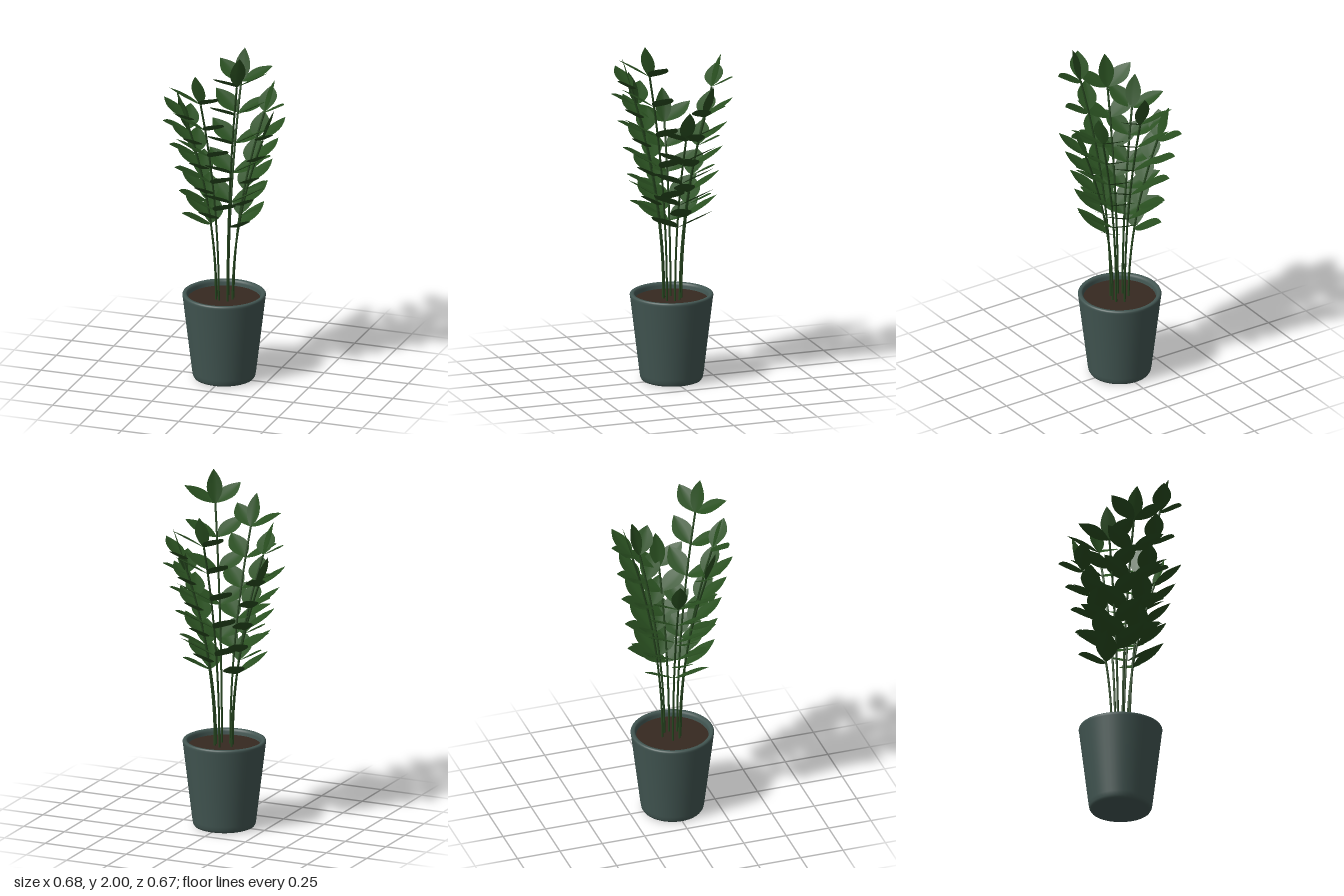
import * as THREE from 'three';

const mat = (name, color, side = THREE.FrontSide) => {
  const m = new THREE.MeshStandardMaterial({ color, side });
  m.name = name;
  return m;
};

// Unit leaf: pointed lens along +y, upper face towards +z, slightly cupped along the midrib
function leafGeometry() {
  const g = new THREE.PlaneGeometry(1, 1, 6, 14);
  const p = g.attributes.position;
  for (let i = 0; i < p.count; i++) {
    const u = p.getX(i), v = p.getY(i) + 0.5;
    const width = Math.pow(Math.max(0, Math.sin(Math.PI * Math.pow(v, 0.95))), 0.95);
    const cup = 0.03 * Math.abs(u) * 2 * width;
    const sag = 0.012 * Math.sin(Math.PI * v);
    p.setXYZ(i, u * width, v, cup - sag);
  }
  g.computeVertexNormals();
  return g;
}

// Base and top of each stem: [base x, base z, top x, top z, top y]
const STEMS = [
  [0.03, 0.037, 0.138, 0.18, 1.81],
  [0.0, -0.06, 0.012, -0.237, 1.68],
  [0.04, -0.035, 0.19, -0.13, 1.56],
  [0.045, -0.006, 0.225, -0.004, 1.44],
  [-0.02, 0.04, -0.065, 0.214, 1.69],
  [-0.042, 0.026, -0.178, 0.138, 1.56],
  [-0.055, -0.016, -0.232, -0.045, 1.43],
];
const SOIL_Y = 0.468, PAIRS = 5, FIRST_PAIR = 0.445;

export function createModel() {
  const model = new THREE.Group();
  model.name = 'pottedPlant';
  const potMat = mat('pot grey green', 0x425652);
  const soilMat = mat('soil brown', 0x362920);
  const stemMat = mat('stem green', 0x26461f);
  const leafMat = mat('leaf green', 0x294f20, THREE.DoubleSide);

  const add = (parent, name, geometry, material) => {
    const mesh = new THREE.Mesh(geometry, material);
    mesh.name = name;
    parent.add(mesh);
    return mesh;
  };

  // Tapered pot with rounded foot and rim
  const profile = [
    [0, 0], [0.158, 0], [0.168, 0.004], [0.175, 0.016], [0.179, 0.04],
    [0.232, 0.482], [0.234, 0.492], [0.231, 0.499], [0.225, 0.502],
    [0.214, 0.501], [0.208, 0.496], [0.205, 0.485], [0.2, 0.44],
  ].map(([r, y]) => new THREE.Vector2(r, y));
  const pot = add(model, 'pot', new THREE.LatheGeometry(profile, 48), potMat);
  pot.position.set(-0.004, 0, -0.003);

  // Soil
  const soil = add(model, 'soil', new THREE.CylinderGeometry(0.204, 0.2, 0.02, 48), soilMat);
  soil.position.set(-0.004, SOIL_Y - 0.01, -0.003);

  const leafGeo = leafGeometry();
  const addLeaf = (parent, name, base, dir, across, length, width) => {
    const d = dir.clone().normalize();
    const w = across.clone().addScaledVector(d, -across.dot(d)).normalize();
    const n = w.clone().cross(d);
    if (n.y < 0) { w.negate(); n.negate(); }
    const leaf = add(parent, name, leafGeo, leafMat);
    leaf.quaternion.setFromRotationMatrix(new THREE.Matrix4().makeBasis(w, d, n));
    leaf.scale.set(width, length, length);
    leaf.position.copy(base);
  };

  STEMS.forEach(([bx, bz, tx, tz, ty]) => {
    const branch = new THREE.Group();
    branch.name = 'branch';
    model.add(branch);

    // Stem bending outwards with height
    const at = (t) => new THREE.Vector3(
      bx + (tx - bx) * t * t, SOIL_Y + (ty - SOIL_Y) * t, bz + (tz - bz) * t * t);
    const pts = Array.from({ length: 9 }, (_, i) => at(i / 8));
    pts[0].y -= 0.01;
    const curve = new THREE.CatmullRomCurve3(pts);
    add(branch, 'stem', new THREE.TubeGeometry(curve, 20, 0.006, 8), stemMat);

    const out = new THREE.Vector3(tx - bx, 0, tz - bz).normalize();
    const side = new THREE.Vector3(-out.z, 0, out.x);

    // Opposite leaf pairs, slightly smaller towards the top
    for (let i = 0; i < PAIRS; i++) {
      const k = i / (PAIRS - 1);
      const base = at(FIRST_PAIR + (1 - FIRST_PAIR) * k);
      const size = 1.13 - 0.13 * k;
      for (const s of [-1, 1]) {
        const dir = side.clone().multiplyScalar(0.16 * s)
          .addScaledVector(out, 0.074).add(new THREE.Vector3(0, 0.092, 0));
        const across = out.clone().multiplyScalar(0.85).add(new THREE.Vector3(0, 0.38, 0));
        addLeaf(branch, 'sideLeaf', base, dir, across, 0.2 * size, 0.108 * size);
      }
    }

    // Upright leaf at the tip
    const dir = at(1).sub(at(0.97));
    addLeaf(branch, 'tipLeaf', at(0.995), dir, side, 0.199, 0.09);
  });

  return model;
}
